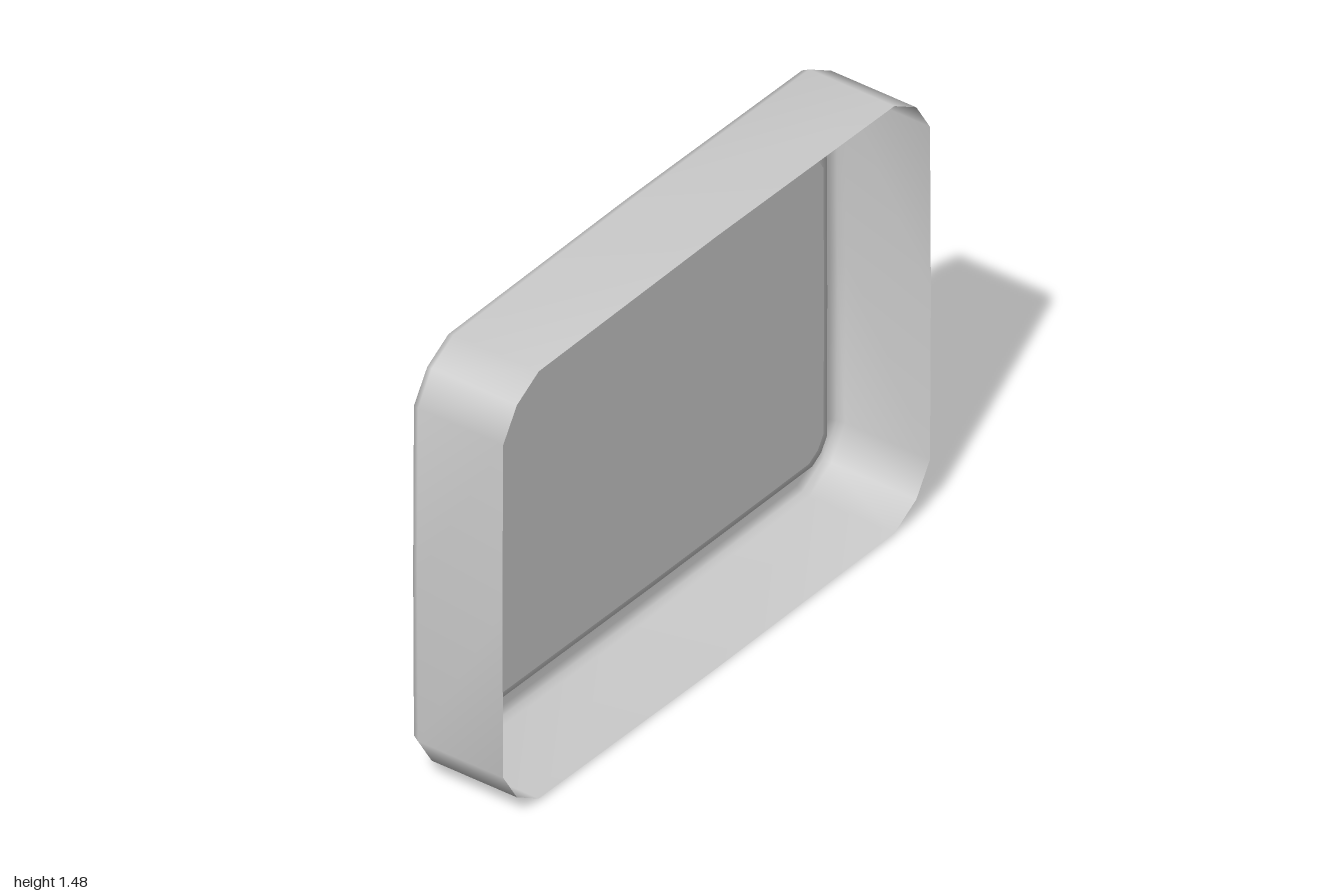
import * as THREE from 'three';

const MID_Y = 0.74;

// Rounded rectangle in the z/y plane at depth x, inset from the outer outline.
// The long sides bow out very slightly at their middles.
function ring(x, inset) {
  const hz = 1 - inset, hy = MID_Y - inset;
  const t = Math.min(inset / 0.185, 1);
  const c = 0.17 + (0.07 - 0.17) * t; // corner size shrinks inwards
  const bow = 0.008 * (1 - t * 0.6);
  const quarter = [[hz, 0], [hz - bow / 2, hy - c], [hz - c * 0.4, hy - c * 0.4], [hz - c, hy - bow], [0, hy]];
  const flip = (sz, sy) => quarter.map(([z, y]) => [z * sz, y * sy]);
  const loop = [
    ...flip(1, 1).slice(0, 4),
    ...flip(-1, 1).reverse().slice(0, 4),
    ...flip(-1, -1).slice(0, 4),
    ...flip(1, -1).reverse().slice(0, 4),
  ];
  return loop.map(([z, y]) => [x, y + MID_Y, z]);
}

// Skin a list of equal-length closed loops.
function loft(rings) {
  const n = rings[0].length, index = [];
  for (let i = 0; i < rings.length - 1; i++) {
    for (let j = 0; j < n; j++) {
      const a = i * n + j, b = i * n + (j + 1) % n;
      index.push(a, b, a + n, b, b + n, a + n);
    }
  }
  return build(rings.flat(), index);
}

// Fill one closed loop with a flat fan.
function cap(loop, x) {
  const n = loop.length, index = [];
  for (let j = 0; j < n; j++) index.push(n, j, (j + 1) % n);
  return build([...loop, [x, MID_Y, 0]], index);
}

function build(points, index) {
  const g = new THREE.BufferGeometry();
  g.setAttribute('position', new THREE.Float32BufferAttribute(points.flat(), 3));
  g.setIndex(index);
  g.computeVertexNormals();
  return g;
}

export function createModel() {
  const group = new THREE.Group();
  group.name = 'recessedFrame';
  const material = new THREE.MeshStandardMaterial({ color: 0xcccccc, side: THREE.DoubleSide });
  const add = (name, geometry) => {
    const mesh = new THREE.Mesh(geometry, material);
    mesh.name = name;
    group.add(mesh);
  };

  // Cross-section [x, inset]: open edge, outer wall, bevelled rim, recess wall
  const section = [
    [0.167, 0], [-0.135, 0], [-0.157, 0.01], [-0.167, 0.035],
    [-0.167, 0.145], [-0.157, 0.17], [-0.135, 0.181], [-0.065, 0.185],
  ];
  add('frameShell', loft(section.map(([x, d]) => ring(x, d))));

  // Panel at the bottom of the recess, with a softened border
  const edge = [[-0.065, 0.185], [-0.053, 0.194], [-0.049, 0.215]].map(([x, d]) => ring(x, d));
  add('panelBorder', loft(edge));
  add('panel', cap(edge[2], -0.049));

  return group;
}
